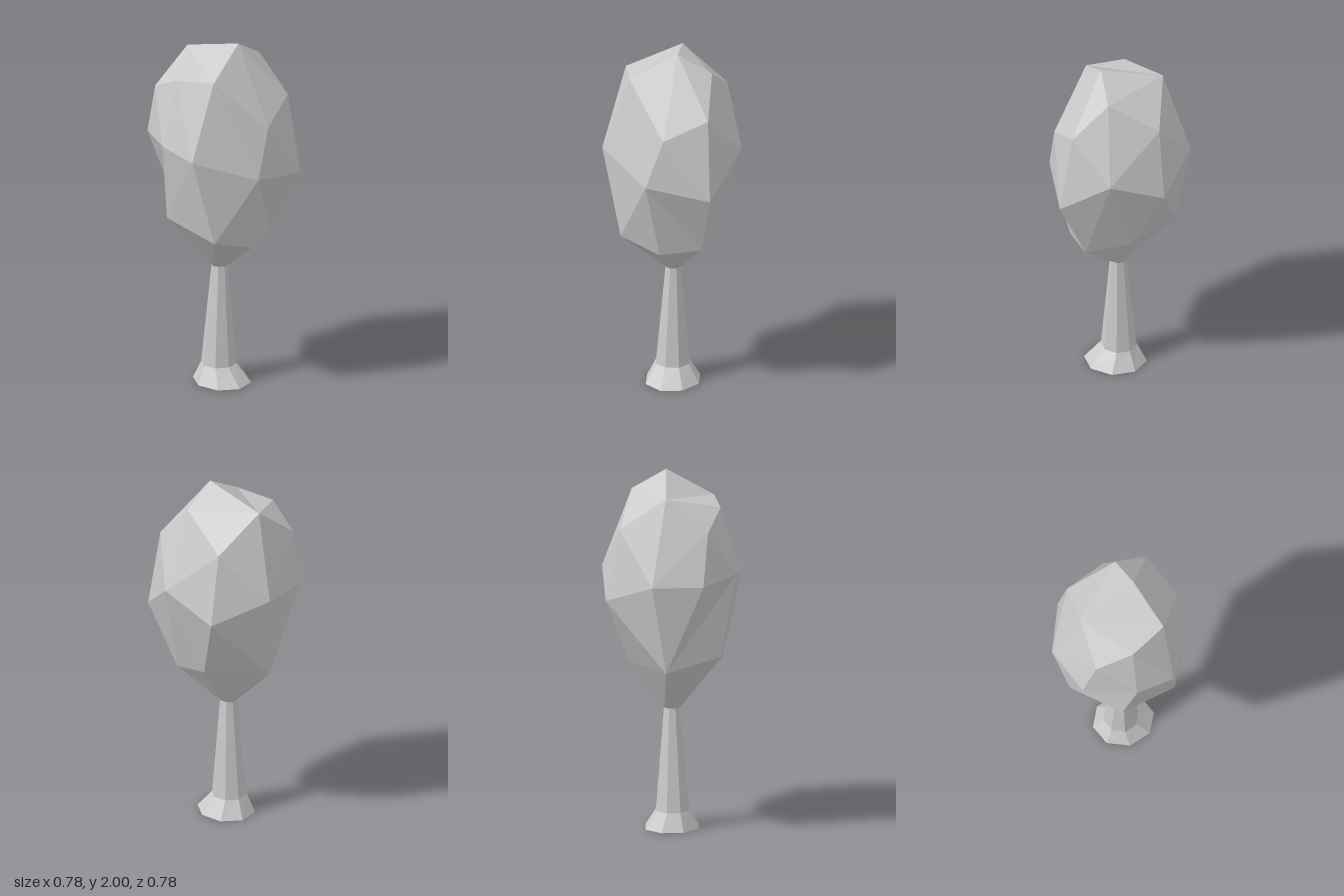
import * as THREE from 'three';
import { ConvexGeometry } from 'three/addons/geometries/ConvexGeometry.js';

const material = new THREE.MeshStandardMaterial({ color: 0xcccccc, flatShading: true, side: THREE.DoubleSide });
const SIDES = 8;

// One octagonal ring of the trunk: centre x, height, centre z and the two radii
function ring(cx, y, cz, rx, rz = rx) {
  return Array.from({ length: SIDES }, (_, i) => {
    const a = (i / SIDES) * Math.PI * 2;
    return new THREE.Vector3(cx + rx * Math.sin(a), y, cz + rz * Math.cos(a));
  });
}

function meshFrom(points, name) {
  const geometry = new THREE.BufferGeometry().setFromPoints(points);
  geometry.computeVertexNormals();
  const mesh = new THREE.Mesh(geometry, material);
  mesh.name = name;
  return mesh;
}

const trunkTop = ring(-0.014, 0.68, 0.007, 0.046);

// Tapered trunk with a flared, open foot
function createTrunk() {
  const rings = [ring(-0.01, 0, 0.022, 0.156, 0.173), ring(-0.02, 0.1, 0.005, 0.098), trunkTop];
  const points = [];
  for (let k = 0; k < rings.length - 1; k++) {
    for (let i = 0; i < SIDES; i++) {
      const j = (i + 1) % SIDES;
      const [a, b, c, d] = [rings[k][i], rings[k][j], rings[k + 1][j], rings[k + 1][i]];
      points.push(a, b, c, a, c, d);
    }
  }
  return meshFrom(points, 'trunk');
}

// Faceted crown: a hull round its corners, with a few shallow dents
function createCrown() {
  const v = (x, y, z) => new THREE.Vector3(x, y, z);
  // Each dent is four corners, anticlockwise, folded inwards from first to third
  const dents = [
    // top
    [v(-0.065, 1.91, -0.235), v(-0.3, 1.83, 0.005), v(-0.19, 1.85, 0.205), v(0.05, 2, 0.095)],
    // lower back
    [v(-0.09, 0.94, -0.3), v(-0.32, 1, -0.06), v(-0.393, 1.46, 0.005), v(-0.3, 1.44, -0.28)],
    // lower front
    [v(-0.015, 1.3, 0.387), v(0.02, 0.855, 0.27), v(0.22, 0.875, 0.16), v(0.33, 1.24, 0.29)],
  ];
  const corners = [
    ...dents.flat(),
    // upper
    v(0.23, 1.89, 0.035), v(0.2, 1.72, -0.245), v(-0.3, 1.73, -0.205),
    v(0.29, 1.69, 0.225), v(0.075, 1.58, 0.35),
    // widest part
    v(-0.04, 1.44, -0.39), v(0.27, 1.32, -0.28), v(0.392, 1.45, 0.005), v(-0.345, 1.42, 0.225),
    // lower
    v(-0.22, 0.925, 0.26), v(0.2, 0.94, -0.09),
    ...trunkTop,
  ];
  const hull = new ConvexGeometry(corners).getAttribute('position');
  const points = [];
  const within = (tri, dent) => tri.every((p) => dent.some((q) => q.distanceTo(p) < 1e-4));
  for (let i = 0; i < hull.count; i += 3) {
    const tri = [0, 1, 2].map((k) => new THREE.Vector3().fromBufferAttribute(hull, i + k));
    if (!dents.some((dent) => within(tri, dent))) points.push(...tri);
  }
  for (const [a, b, c, d] of dents) points.push(a, b, c, a, c, d);
  return meshFrom(points, 'crown');
}

export function createModel() {
  const tree = new THREE.Group();
  tree.name = 'tree';
  tree.add(createTrunk(), createCrown());
  return tree;
}
